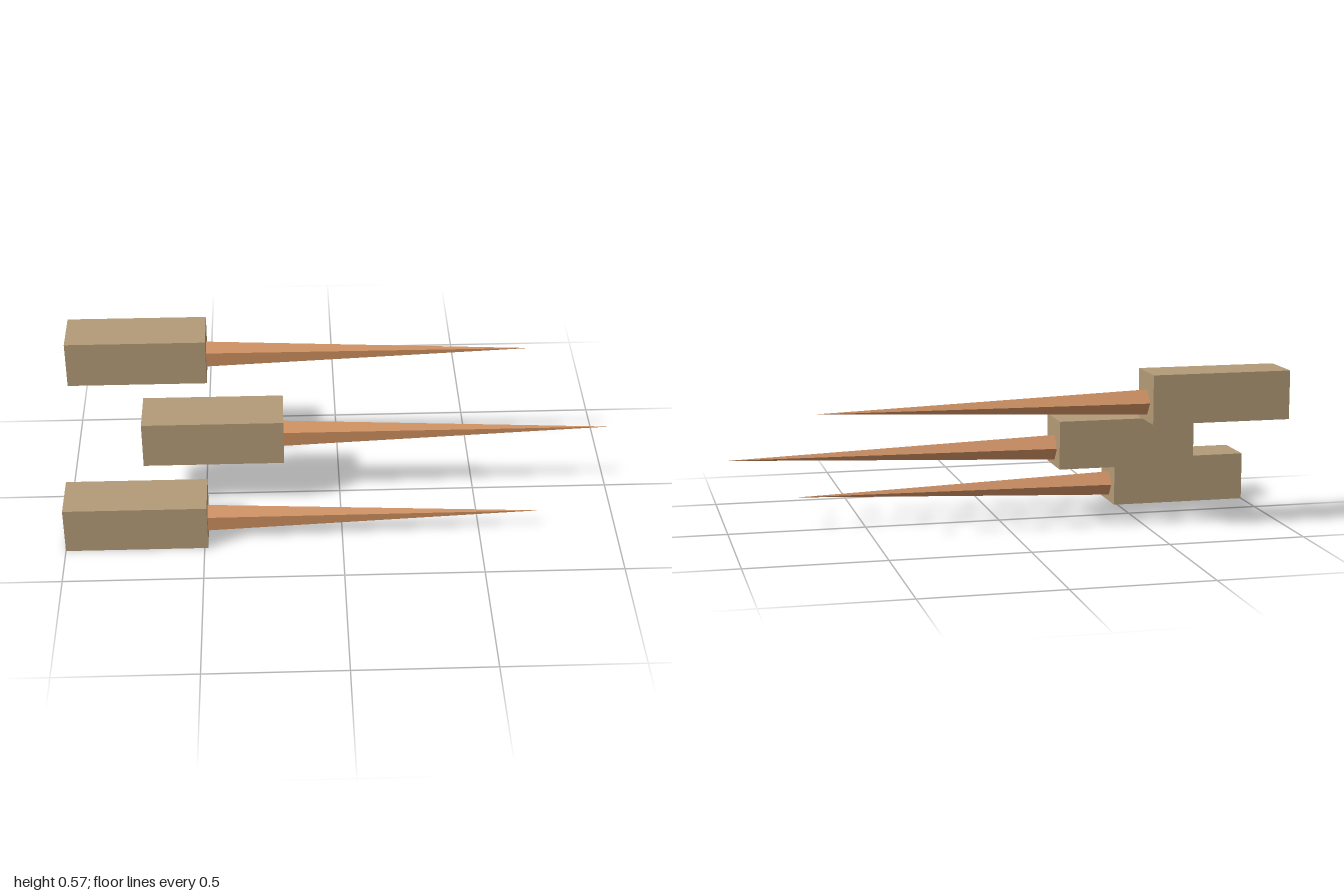
import * as THREE from 'three';

export function createModel() {
  const model = new THREE.Group();
  const block = new THREE.MeshStandardMaterial({ color: 0xb39a77 });
  block.name = 'tan block';
  const copper = new THREE.MeshStandardMaterial({ color: 0xcd8f60 });
  copper.name = 'copper spike';

  const handleLength = 0.513, spikeLength = 1.207, thickness = 0.178;
  const handleGeometry = new THREE.BoxGeometry(handleLength, thickness, thickness);

  // Five-sided spike pointing along +x, faceted, one ridge towards the back
  let spikeGeometry = new THREE.ConeGeometry(0.0485, spikeLength, 5);
  spikeGeometry.rotateY(Math.PI);
  spikeGeometry.rotateZ(-Math.PI / 2);
  spikeGeometry = spikeGeometry.toNonIndexed();
  spikeGeometry.computeVertexNormals();

  // Back end x, centre y, centre z of each
  const places = [
    ['lowerSpike', -1, 0.089, 0.239],
    ['middleSpike', -0.72, 0.288, 0],
    ['upperSpike', -1, 0.486, -0.239],
  ];
  for (const [name, x, y, z] of places) {
    const group = new THREE.Group();
    group.name = name;
    group.position.set(x, y, z);

    const handle = new THREE.Mesh(handleGeometry, block);
    handle.name = 'handle';
    handle.position.x = handleLength / 2;

    const spike = new THREE.Mesh(spikeGeometry, copper);
    spike.name = 'spike';
    spike.position.set(handleLength + spikeLength / 2, -0.019, 0);

    group.add(handle, spike);
    model.add(group);
  }
  return model;
}
